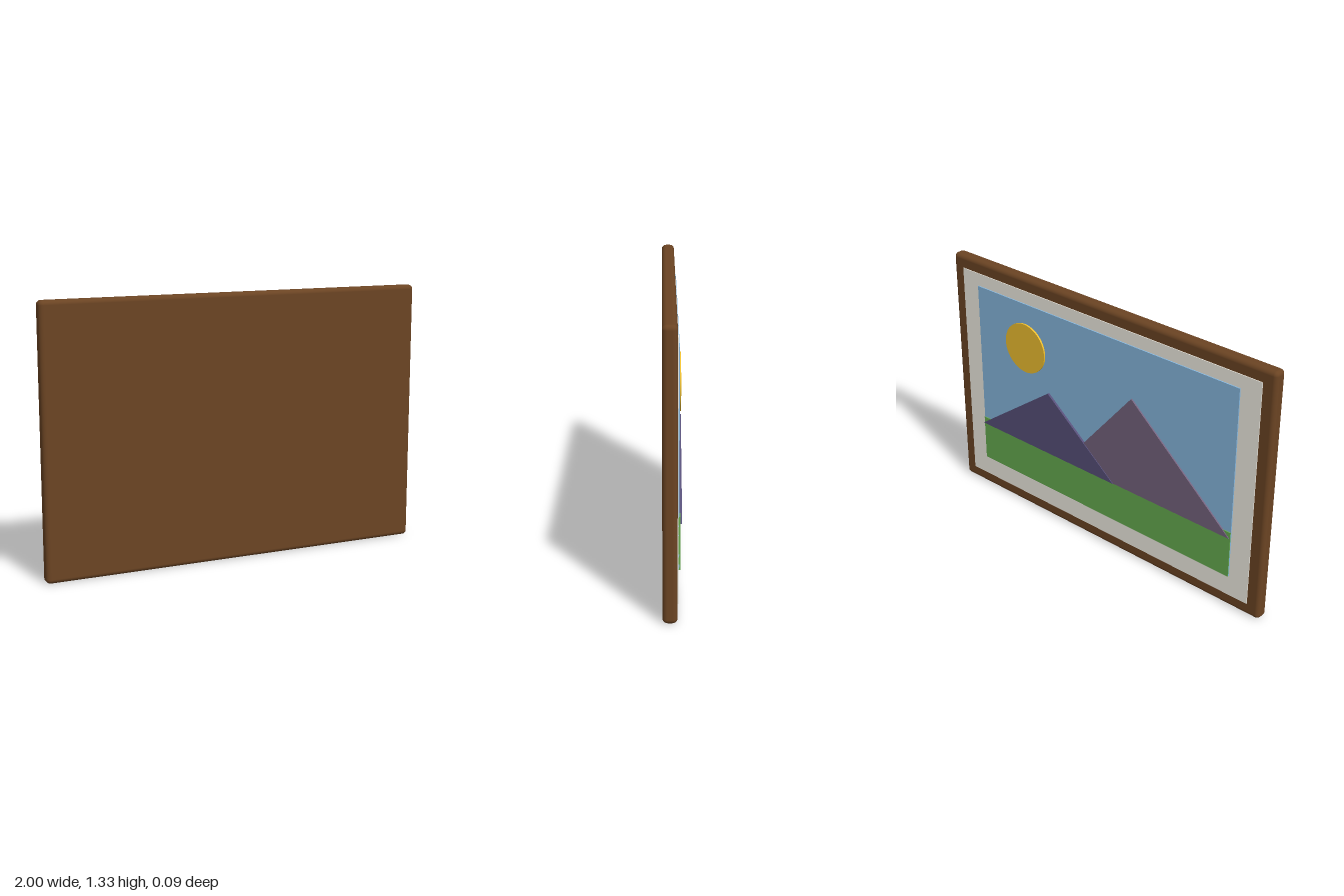
import * as THREE from 'three';
import { RoundedBoxGeometry } from 'three/addons/geometries/RoundedBoxGeometry.js';

const BOARD_BACK = -0.022; // picture side of the board

export function createModel() {
  const group = new THREE.Group();
  group.name = 'framedLandscape';

  function add(name, geometry, color, x, y, z) {
    const mesh = new THREE.Mesh(geometry, new THREE.MeshStandardMaterial({ color }));
    mesh.name = name;
    mesh.position.set(x, y, z);
    group.add(mesh);
    return mesh;
  }

  // Flat rectangle raised from the board to depth z
  function panel(name, color, width, bottom, top, z) {
    const depth = BOARD_BACK - z;
    add(name, new THREE.BoxGeometry(width, top - bottom, depth), color, 0, (bottom + top) / 2, z + depth / 2);
  }

  // Flat triangular peak raised from the board to depth z
  function mountain(name, color, points, z) {
    const shape = new THREE.Shape(points.map(([x, y]) => new THREE.Vector2(x, y)));
    const geometry = new THREE.ExtrudeGeometry(shape, { depth: BOARD_BACK - z, bevelEnabled: false });
    add(name, geometry, color, 0, 0, z);
  }

  // Wooden board with rounded edges
  add('frameBoard', new RoundedBoxGeometry(2, 1.333, 0.066, 5, 0.022), 0x6b4423, 0, 0.6665, 0.011);

  // Mat and scenery, each layer slightly prouder than the last
  panel('mat', 0xf2eee4, 1.86, 0.067, 1.267, -0.026);
  panel('sky', 0x87b9e0, 1.64, 0.18, 1.2, -0.032);
  panel('ground', 0x66ad50, 1.64, 0.18, 0.433, -0.036);
  mountain('farMountain', 0x75647f, [[-0.815, 0.4], [0.23, 0.4], [-0.21, 0.925]], -0.04);
  mountain('nearMountain', 0x58507a, [[-0.1, 0.4], [0.82, 0.4], [0.335, 0.755]], -0.0435);

  // Sun disc
  const sunZ = -0.041;
  const sunDepth = BOARD_BACK - sunZ;
  const disc = new THREE.CylinderGeometry(0.134, 0.134, sunDepth, 48).rotateX(Math.PI / 2);
  add('sun', disc, 0xf0c030, 0.49, 0.958, sunZ + sunDepth / 2);

  return group;
}
